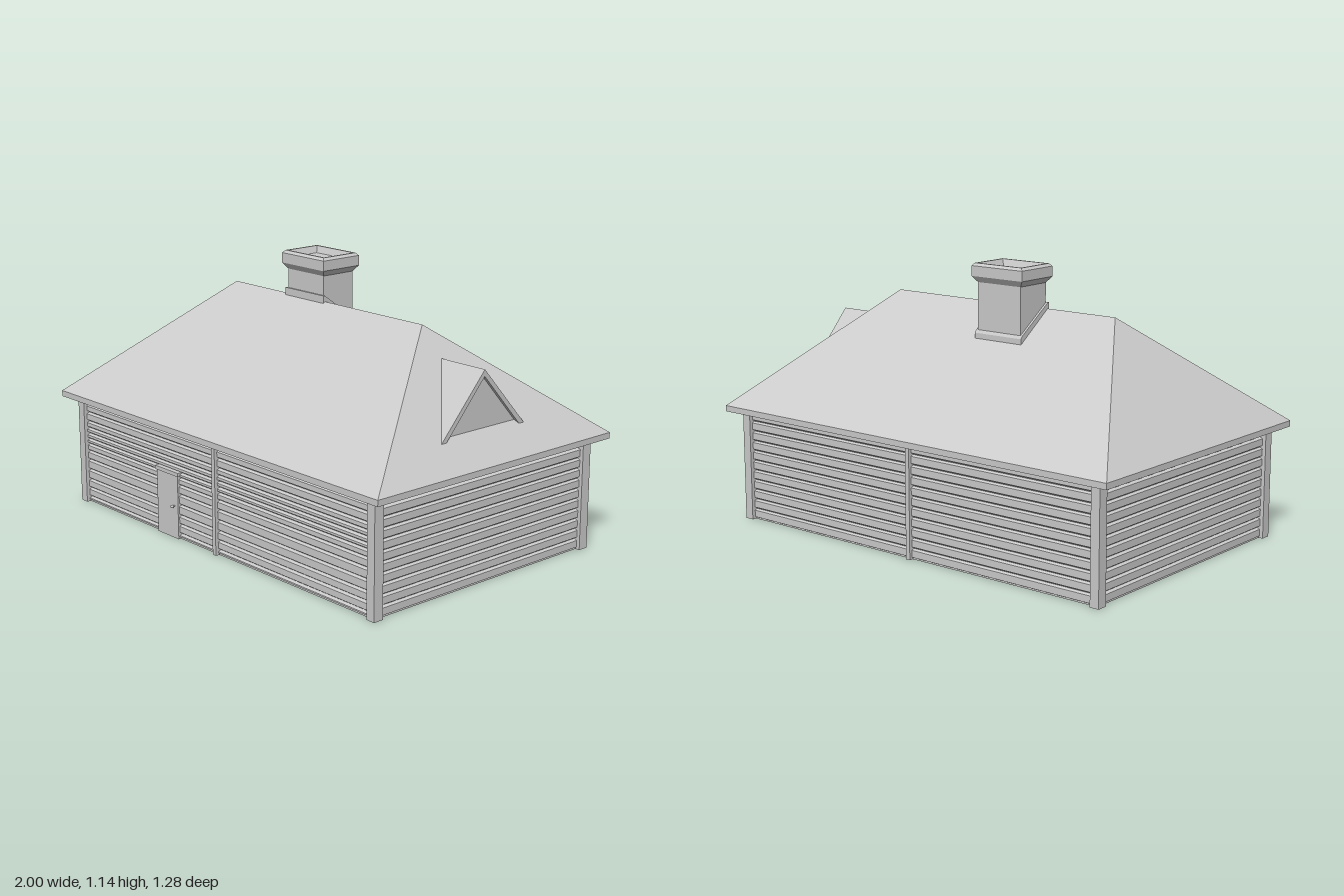
import * as THREE from 'three';

const mat = new THREE.MeshStandardMaterial({ color: 0xcccccc, flatShading: true });

function add(parent, name, geometry, x = 0, y = 0, z = 0) {
  const mesh = new THREE.Mesh(geometry, mat);
  mesh.name = name;
  mesh.position.set(x, y, z);
  parent.add(mesh);
  return mesh;
}

// Box given by its lower and upper corners
function block(parent, name, [x0, y0, z0], [x1, y1, z1]) {
  return add(parent, name, new THREE.BoxGeometry(x1 - x0, y1 - y0, z1 - z0),
    (x0 + x1) / 2, (y0 + y1) / 2, (z0 + z1) / 2);
}

// Stack of rectangular rings [halfX, halfZ, y], closed at both ends
function loft(rings) {
  const pos = [];
  const ring = ([hx, hz, y]) => [[-hx, y, hz], [hx, y, hz], [hx, y, -hz], [-hx, y, -hz]];
  const quad = (a, b, c, d) => pos.push(...a, ...b, ...c, ...a, ...c, ...d);
  for (let i = 0; i < rings.length - 1; i++) {
    const lo = ring(rings[i]), hi = ring(rings[i + 1]);
    for (let k = 0; k < 4; k++) {
      const n = (k + 1) % 4;
      quad(lo[k], lo[n], hi[n], hi[k]);
    }
  }
  const [a, b, c, d] = ring(rings[0]);
  quad(d, c, b, a);
  const top = rings[rings.length - 1];
  if (top[1] > 0) quad(...ring(top));
  const g = new THREE.BufferGeometry();
  g.setAttribute('position', new THREE.Float32BufferAttribute(pos, 3));
  g.computeVertexNormals();
  return g;
}

function extrude(points, depth) {
  const shape = new THREE.Shape(points.map(([x, y]) => new THREE.Vector2(x, y)));
  return new THREE.ExtrudeGeometry(shape, { depth, bevelEnabled: false });
}

// Wall of bevelled boards; joints are the heights where boards meet
function siding(joints, length) {
  const pts = [[-0.06, 0]];
  for (let i = 0; i < joints.length - 1; i++) {
    const y0 = joints[i], y1 = joints[i + 1];
    pts.push([-0.014, y0], [-0.012, y0 + 0.003], [0, y0 + 0.009], [0, y1 - 0.005], [-0.008, y1 - 0.001]);
  }
  pts.push([-0.06, joints[joints.length - 1]]);
  return extrude(pts, length).translate(0, 0, -length / 2);
}

export function createModel() {
  const house = new THREE.Group();
  house.name = 'house';

  // Walls
  const even = Array.from({ length: 12 }, (_, i) => i * 0.0428);
  const mixed = [0, 0.02, 0.06, 0.1, 0.145, 0.19, 0.23, 0.262, 0.285, 0.31, 0.335, 0.365, 0.405, 0.44, 0.471];
  add(house, 'rightWall', siding(even, 1.12), 0.925);
  add(house, 'leftWall', siding(even, 1.12), -0.925).rotation.y = Math.PI;
  add(house, 'frontWall', siding(mixed, 1.82), 0, 0, 0.58).rotation.y = -Math.PI / 2;
  add(house, 'backWall', siding(even, 1.82), 0, 0, -0.58).rotation.y = Math.PI / 2;
  block(house, 'floor', [-0.92, 0, -0.575], [0.92, 0.01, 0.575]);

  // Corner and middle posts
  for (const sz of [-1, 1]) {
    for (const sx of [-1, 1]) {
      add(house, 'cornerPost', new THREE.BoxGeometry(0.04, 0.475, 0.045), sx * 0.92, 0.2375, sz * 0.5725);
    }
    add(house, 'middlePost', new THREE.BoxGeometry(0.02, 0.475, 0.03), 0, 0.2375, sz * 0.578);
  }

  // Door
  block(house, 'door', [-0.385, 0, 0.55], [-0.245, 0.275, 0.587]);
  block(house, 'doorLintel', [-0.392, 0.272, 0.55], [-0.238, 0.288, 0.591]);
  const knob = add(house, 'doorKnob', new THREE.SphereGeometry(0.007, 10, 8), -0.268, 0.14, 0.6);
  knob.material = new THREE.MeshStandardMaterial({ color: 0xcccccc });
  const stem = add(house, 'knobStem', new THREE.CylinderGeometry(0.003, 0.003, 0.015, 8), -0.268, 0.14, 0.592);
  stem.rotation.x = Math.PI / 2;

  // Hipped roof
  add(house, 'roof', loft([[1, 0.638, 0.47], [1, 0.638, 0.495], [0.57, 0, 0.96]]));

  // Dormer on the right hip
  const dormerRoof = [[-0.232, 0.59], [-0.205, 0.59], [0, 0.818], [0.205, 0.59], [0.232, 0.59], [0, 0.845]];
  add(house, 'dormerRoof', extrude(dormerRoof, 0.23), 0.676).rotation.y = Math.PI / 2;
  const gable = [[-0.21, 0.59], [0.21, 0.59], [0, 0.822]];
  add(house, 'dormerGable', extrude(gable, 0.2), 0.692).rotation.y = Math.PI / 2;

  // Chimney
  const chimney = new THREE.Group();
  chimney.name = 'chimney';
  chimney.position.set(-0.115, 0, -0.081);
  house.add(chimney);
  add(chimney, 'chimneyShaft', new THREE.BoxGeometry(0.22, 0.28, 0.162), 0, 0.94, 0);
  add(chimney, 'chimneyCap', loft([
    [0.11, 0.081, 1.065], [0.13, 0.098, 1.09], [0.13, 0.098, 1.132], [0.12, 0.088, 1.143],
    [0.112, 0.08, 1.143], [0.1, 0.068, 1.115],
  ]));
  // Sloping collar where the shaft meets the roof
  const collar = [[-0.09, 0.985], [-0.09, 0.93], [0.09, 0.8], [0.09, 0.858], [0.084, 0.868], [-0.083, 0.985]];
  const collarMesh = add(chimney, 'chimneyCollar', extrude(collar, 0.24), 0.12, 0, 0);
  collarMesh.rotation.y = Math.PI / 2;
  collarMesh.position.x = -0.12;

  return house;
}
